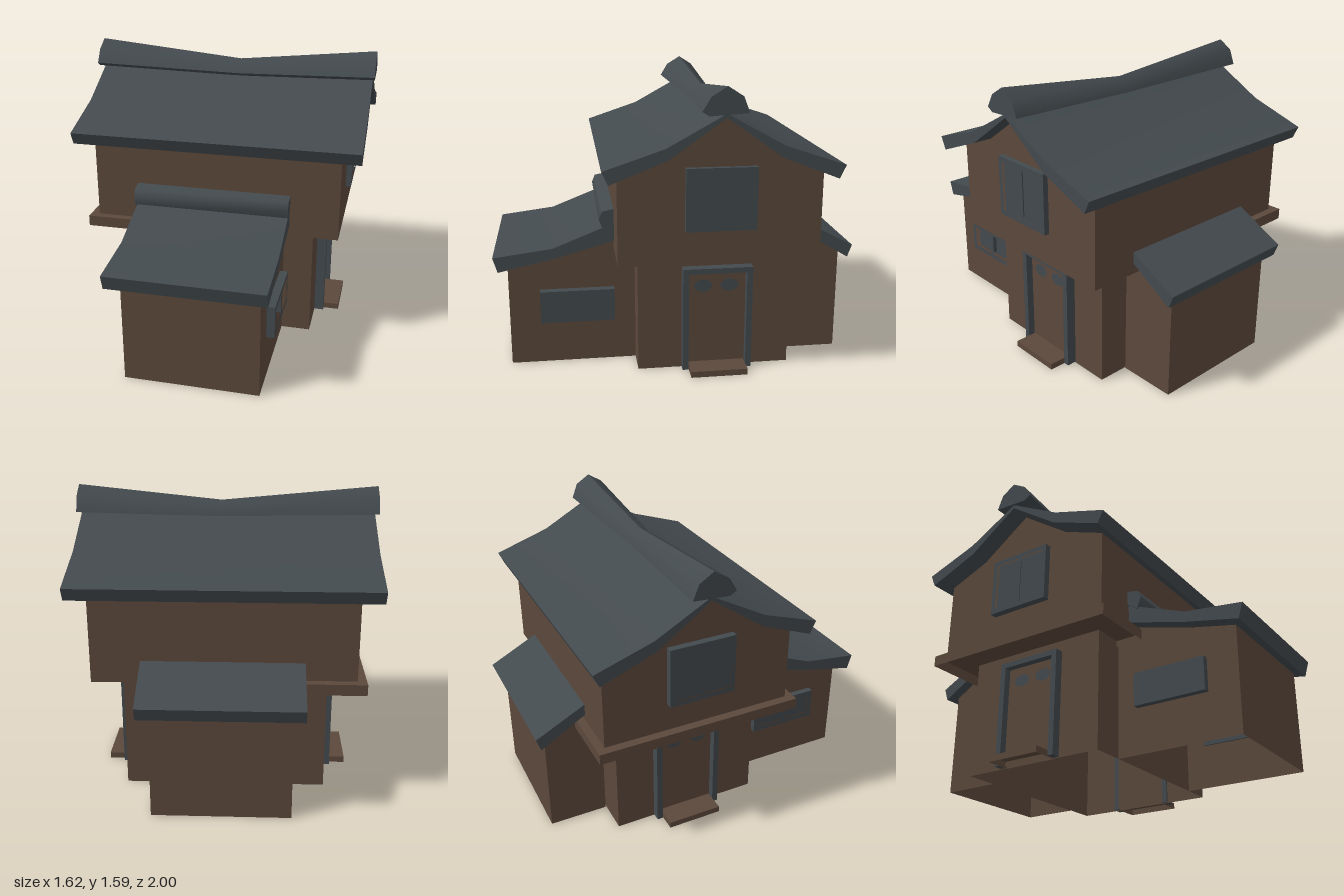
import * as THREE from 'three';
import { toCreasedNormals } from 'three/addons/utils/BufferGeometryUtils.js';

const timber = new THREE.MeshStandardMaterial({ color: 0x5b483b, side: THREE.DoubleSide });
timber.name = 'brown timber';
const slate = new THREE.MeshStandardMaterial({ color: 0x434a4e });
slate.name = 'slate grey';

// Extrudes a side profile of [z, y] points along x, from x0 to x1.
function extrudeX(points, x0, x1, steps = 1, holes = []) {
  const toVec = ([z, y]) => new THREE.Vector2(-z, y);
  const shape = new THREE.Shape(points.map(toVec));
  for (const h of holes) shape.holes.push(new THREE.Path(h.map(toVec)));
  const geo = new THREE.ExtrudeGeometry(shape, { depth: x1 - x0, steps, bevelEnabled: false });
  return geo.rotateY(Math.PI / 2).translate(x0, 0, 0);
}

const rect = (z0, z1, y0, y1) => [[z0, y0], [z1, y0], [z1, y1], [z0, y1]];

function box(x0, x1, y0, y1, z0, z1) {
  return new THREE.BoxGeometry(x1 - x0, y1 - y0, z1 - z0)
    .translate((x0 + x1) / 2, (y0 + y1) / 2, (z0 + z1) / 2);
}

// Drops the underside of a solid, leaving a shell that is open below.
function openBelow(geo) {
  const pos = geo.attributes.position;
  geo.computeBoundingBox();
  const limit = geo.boundingBox.min.y + 1e-4;
  const source = geo.index ? Array.from(geo.index.array) : Array.from({ length: pos.count }, (_, i) => i);
  const kept = [];
  for (let i = 0; i < source.length; i += 3) {
    const tri = source.slice(i, i + 3);
    if (tri.some((v) => pos.getY(v) > limit)) kept.push(...tri);
  }
  geo.clearGroups();
  geo.setIndex(kept);
  return geo;
}

export function createModel() {
  const model = new THREE.Group();
  model.name = 'house';
  const add = (name, geo, material, parent = model) => {
    const mesh = new THREE.Mesh(geo, material);
    mesh.name = name;
    parent.add(mesh);
  };

  // Walls, hollow from below except for the jutting upper storey
  add('lowerStorey', openBelow(box(-0.545, 0.54, 0, 0.66, -0.61, 0.23)), timber);
  add('upperStorey', extrudeX([
    [0.345, 0.655], [0.345, 1.14], [0.1, 1.235], [-0.19, 1.44],
    [-0.48, 1.235], [-0.725, 1.14], [-0.725, 0.655],
  ], -0.69, 0.69), timber);
  add('frontWing', openBelow(extrudeX([
    [0.925, 0], [0.925, 0.585], [0.66, 0.635], [0.345, 0.73], [0.23, 0.73], [0.23, 0],
  ], -0.36, 0.375)), timber);
  add('backWing', openBelow(extrudeX([
    [-0.615, 0], [-0.615, 0.65], [-0.72, 0.65], [-0.72, 0.725], [-0.94, 0.59], [-0.94, 0],
  ], -0.36, 0.37)), timber);
  add('sideLedge', openBelow(box(-0.738, -0.38, 0.62, 0.68, -0.77, 0.39)), timber);

  // Main roof: a bent gable, mirrored about the ridge line
  const ridgeZ = -0.19;
  const half = [[0.425, 1.185], [0.11, 1.29]];
  const under = [[0.1, 1.23], [0.393, 1.115]];
  const mirror = (pts) => pts.map(([z, y]) => [2 * ridgeZ - z, y]).reverse();
  const roofProfile = [
    ...half, [ridgeZ, 1.455], ...mirror(half),
    ...mirror(under), [ridgeZ, 1.435], ...under,
  ];
  add('mainRoof', toCreasedNormals(extrudeX(roofProfile, -0.8, 0.797), 0.4), slate);

  // Ridge cap: sags and narrows towards the middle
  const cap = extrudeX([
    [-0.065, 1.468], [-0.108, 1.54], [-0.19, 1.59], [-0.268, 1.54], [-0.3, 1.458], [-0.1, 1.446],
  ], -0.813, 0.81, 2);
  const p = cap.attributes.position;
  for (let i = 0; i < p.count; i++) {
    if (Math.abs(p.getX(i)) > 0.5) continue;
    const y = p.getY(i);
    p.setX(i, 0.03);
    p.setY(i, y - 0.025 - 0.055 * Math.max(0, (y - 1.46) / 0.13));
    p.setZ(i, ridgeZ + (p.getZ(i) - ridgeZ) * 0.62);
  }
  add('ridgeCap', toCreasedNormals(cap, 0.75), slate);

  // Wing roofs
  add('frontWingRoof', toCreasedNormals(extrudeX([
    [1.0, 0.64], [0.68, 0.68], [0.3, 0.83], [0.3, 0.725], [0.66, 0.625], [0.975, 0.557],
  ], -0.435, 0.42), 0.4), slate);
  add('frontWingRidge', toCreasedNormals(extrudeX([
    [0.33, 0.895], [0.408, 0.88], [0.426, 0.835], [0.403, 0.775], [0.33, 0.825],
  ], -0.445, 0.422), 1.1), slate);
  add('backWingRoof', extrudeX([
    [-0.69, 0.795], [-1.0, 0.635], [-0.975, 0.565], [-0.69, 0.735],
  ], -0.42, 0.43), slate);

  for (const s of [1, -1]) {
    const side = s > 0 ? 'left' : 'right';
    const span = (a, b) => [Math.min(s * a, s * b), Math.max(s * a, s * b)];

    // Window: a frame around two recessed panes
    const addWindow = (name, wall, outer, [z0, z1, y0, y1], rim) => {
      const group = new THREE.Group();
      group.name = side + name;
      model.add(group);
      const mid = (z0 + z1) / 2;
      const holes = [
        rect(z0 + rim, mid - rim * 0.45, y0 + rim, y1 - rim),
        rect(mid + rim * 0.45, z1 - rim, y0 + rim, y1 - rim),
      ];
      add('windowFrame', extrudeX(rect(z0, z1, y0, y1), ...span(wall - 0.01, outer), 1, holes), slate, group);
      add('windowPanes', box(...span(wall - 0.003, wall + 0.005), y0 + 0.01, y1 - 0.01, z0 + 0.01, z1 - 0.01), slate, group);
    };
    addWindow('UpperWindow', 0.69, s > 0 ? 0.72 : 0.728, [-0.375, -0.003, 0.838, 1.17], 0.028);
    addWindow('WingWindow', s > 0 ? 0.375 : 0.36, s > 0 ? 0.42 : 0.395, [0.347, 0.755, 0.25, 0.432], 0.027);

    // Door with frame, step and two small plates
    const door = new THREE.Group();
    door.name = side + 'Door';
    model.add(door);
    add('doorFrame', extrudeX([
      [-0.01, 0.005], [-0.01, 0.59], [-0.392, 0.59], [-0.392, 0.005],
      [-0.36, 0.005], [-0.36, 0.56], [-0.042, 0.56], [-0.042, 0.005],
    ], ...span(0.53, 0.595)), slate, door);
    add('doorLeaf', openBelow(box(...span(0.53, 0.555), 0.01, 0.562, -0.362, -0.04)), timber, door);
    add('doorStep', openBelow(box(...span(0.54, 0.683), 0, 0.034, -0.355, -0.045)), timber, door);
    for (const z of [-0.125, -0.27]) {
      const plate = new THREE.CircleGeometry(1, 12).scale(0.05, 0.036, 1).rotateY(s * Math.PI / 2);
      add('doorPlate', plate.translate(s * 0.557, 0.48, z), slate, door);
    }
  }
  return model;
}
